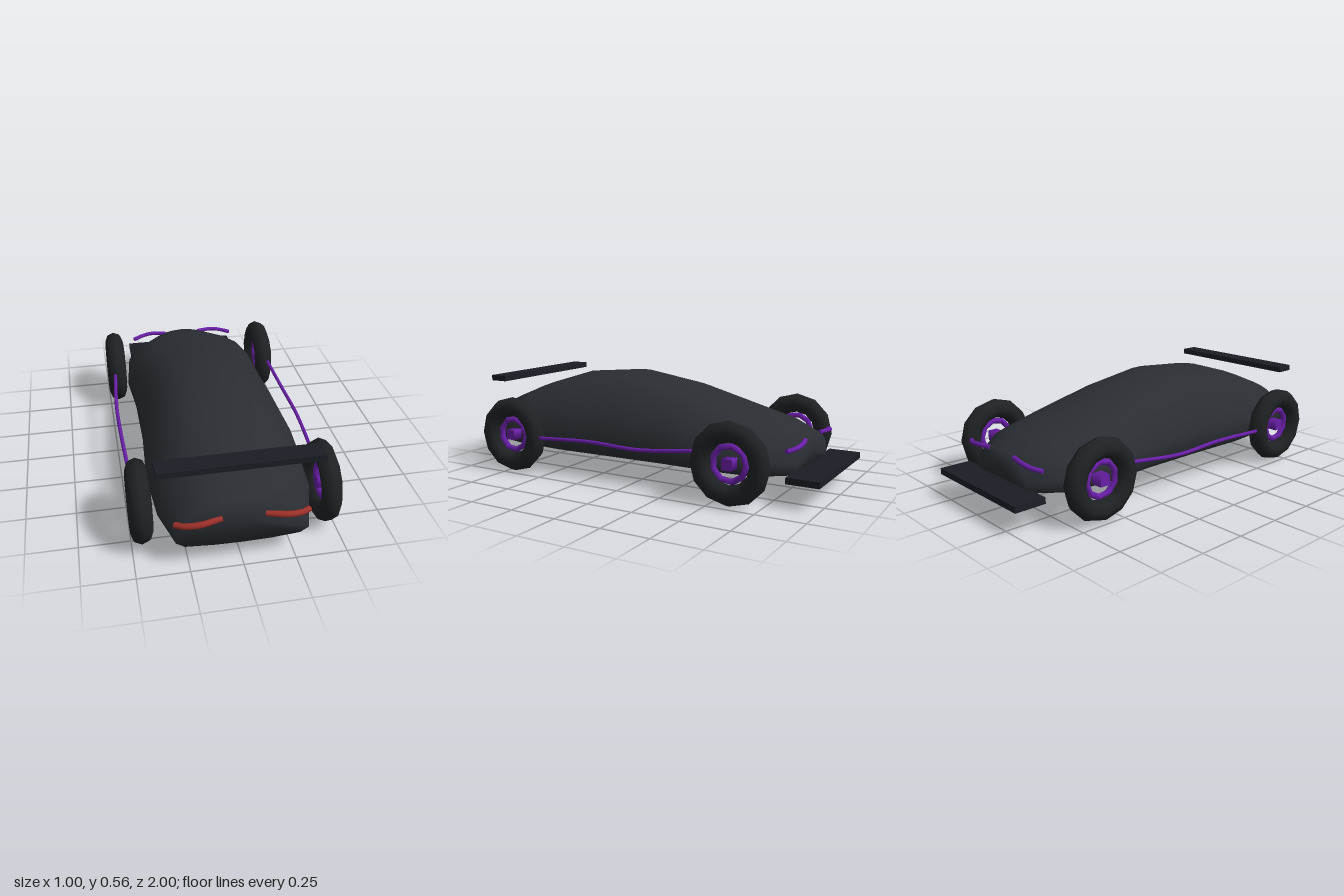
import * as THREE from 'three';

const paint = (color) => new THREE.MeshStandardMaterial({ color });
const bodyMat = paint(0x2a2e33);
const wingMat = paint(0x1a1e25);
const tyreMat = paint(0x1f2224);
const trimMat = paint(0x6a1fa8);
const lampMat = paint(0x9c302a);

function add(parent, name, geometry, material, x = 0, y = 0, z = 0) {
  const mesh = new THREE.Mesh(geometry, material);
  mesh.name = name;
  mesh.position.set(x, y, z);
  parent.add(mesh);
  return mesh;
}

// Shell lofted front to back; each station is [z, halfWidth, bottom, top]
function bodyGeometry() {
  const stations = [
    [0.965, 0.31, 0.11, 0.36], [0.77, 0.37, 0.107, 0.44], [0.49, 0.39, 0.1, 0.525],
    [0.16, 0.37, 0.095, 0.555], [-0.18, 0.37, 0.1, 0.5], [-0.45, 0.39, 0.108, 0.418],
    [-0.68, 0.365, 0.11, 0.355], [-0.85, 0.22, 0.115, 0.298],
  ];
  // Half cross-section, as fractions of half width and height
  const half = [
    [0, 1], [0.27, 0.97], [0.46, 0.92], [0.63, 0.84], [0.88, 0.63],
    [0.99, 0.36], [1, 0.16], [0.87, 0.055], [0.43, 0.012], [0, 0],
  ];
  const ring = [...half, ...half.slice(1, -1).reverse().map(([u, v]) => [-u, v])];
  const n = ring.length;
  const points = [];
  const index = [];
  for (const [z, w, bottom, top] of stations) {
    for (const [u, v] of ring) points.push(u * w, bottom + v * (top - bottom), z);
  }
  const last = (stations.length - 1) * n;
  const front = stations.length * n;
  for (const [z, , bottom, top] of [stations[0], stations.at(-1)]) {
    points.push(0, (bottom + top) / 2, z);
  }
  for (let j = 0; j < n; j++) {
    const k = (j + 1) % n;
    for (let i = 0; i < last; i += n) {
      index.push(i + j, i + k, i + n + j, i + k, i + n + k, i + n + j);
    }
    index.push(front, k, j, front + 1, last + j, last + k);
  }
  const geometry = new THREE.BufferGeometry();
  geometry.setAttribute('position', new THREE.Float32BufferAttribute(points, 3));
  geometry.setIndex(index);
  geometry.computeVertexNormals();
  return geometry;
}

// Open wheel: tyre ring, thin rim ring and a small hub, axle along x
function wheel(name, x, z) {
  const group = new THREE.Group();
  group.name = name;
  group.position.set(x, 0.207, z);
  const tyre = new THREE.TorusGeometry(0.155, 0.052, 8, 12).rotateY(Math.PI / 2);
  add(group, 'tyre', tyre, tyreMat);
  const rim = new THREE.TorusGeometry(0.087, 0.016, 6, 9).rotateY(Math.PI / 2);
  add(group, 'rim', rim, trimMat);
  const hub = new THREE.CylinderGeometry(0.038, 0.038, 0.06, 4)
    .rotateY(Math.PI / 4).rotateZ(Math.PI / 2);
  add(group, 'hub', hub, trimMat);
  return group;
}

// Tube with closed ends through points mirrored by side
function strip(parent, name, side, path, radius, material) {
  const points = path.map(([x, y, z]) => new THREE.Vector3(side * x, y, z));
  const curve = new THREE.CatmullRomCurve3(points);
  const group = new THREE.Group();
  group.name = name;
  add(group, name + 'Tube', new THREE.TubeGeometry(curve, 16, radius, 8), material);
  for (const t of [0, 1]) {
    const cap = add(group, name + 'End', new THREE.CircleGeometry(radius, 8), material);
    const p = curve.getPoint(t);
    cap.position.copy(p);
    cap.lookAt(p.clone().addScaledVector(curve.getTangent(t), t ? 1 : -1));
  }
  parent.add(group);
}

export function createModel() {
  const car = new THREE.Group();
  car.name = 'car';
  add(car, 'body', bodyGeometry(), bodyMat);

  // Raised wing and low flat splitter
  add(car, 'wing', new THREE.BoxGeometry(0.77, 0.03, 0.096), wingMat, 0, 0.5, 0.868);
  add(car, 'splitter', new THREE.BoxGeometry(0.67, 0.032, 0.166), wingMat, 0, 0.13, -0.917);

  for (const side of [1, -1]) {
    const prefix = side > 0 ? 'left' : 'right';
    car.add(wheel(prefix + 'FrontWheel', side * 0.45, 0.71));
    car.add(wheel(prefix + 'RearWheel', side * 0.45, -0.6));

    strip(car, prefix + 'SideStrip', side,
      [[0.472, 0.21, 0.51], [0.485, 0.23, 0.17], [0.485, 0.223, -0.12], [0.467, 0.25, -0.41]],
      0.01, trimMat);
    strip(car, prefix + 'FrontLight', side,
      [[0.1, 0.266, 0.963], [0.2, 0.259, 0.983], [0.27, 0.25, 0.97], [0.312, 0.243, 0.945]],
      0.015, lampMat);
    strip(car, prefix + 'RearLight', side,
      [[0.105, 0.28, -0.845], [0.2, 0.278, -0.862], [0.26, 0.27, -0.853], [0.312, 0.263, -0.828]],
      0.012, trimMat);
  }
  return car;
}
